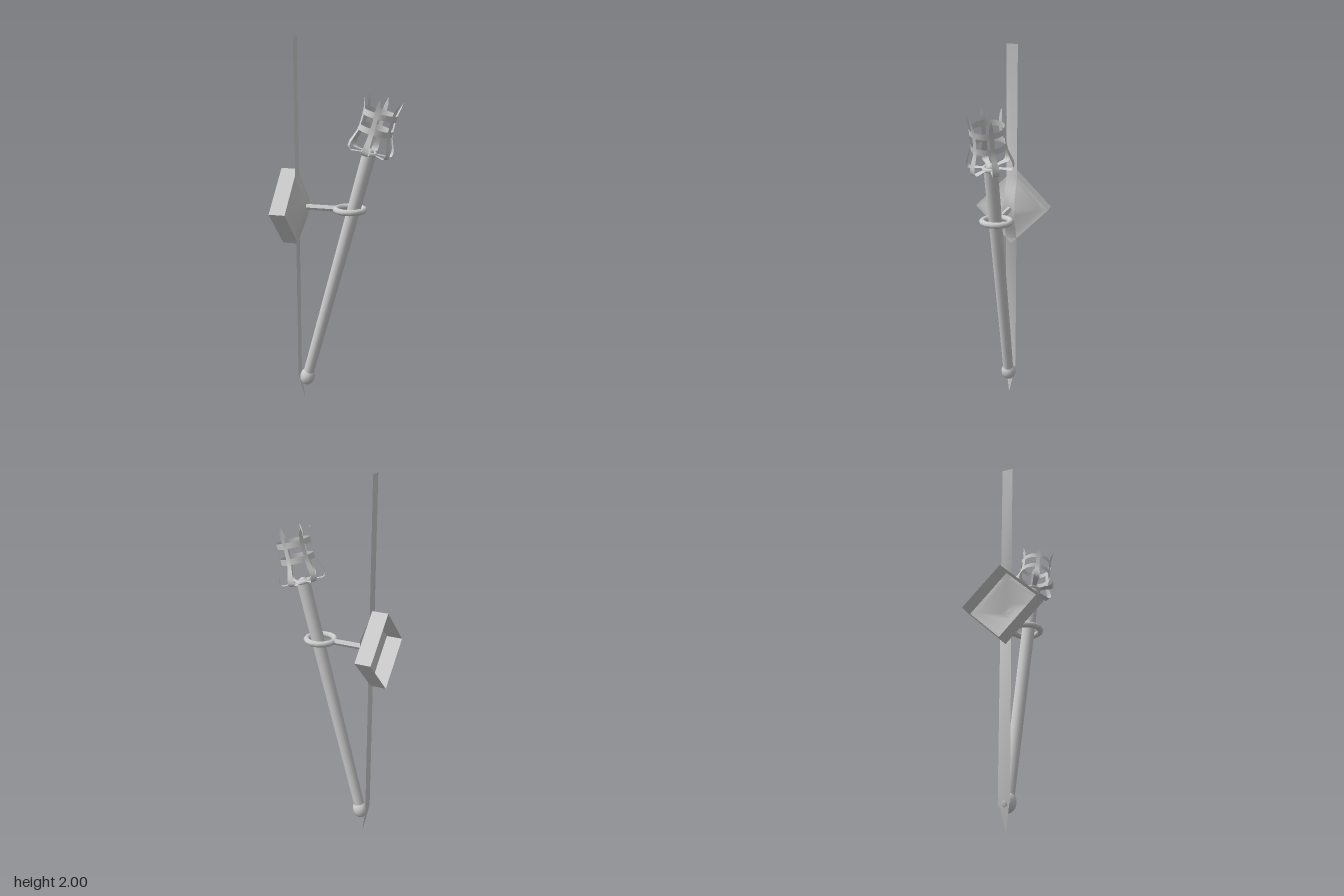
import * as THREE from 'three';
import { toCreasedNormals } from 'three/addons/utils/BufferGeometryUtils.js';

const solid = new THREE.MeshStandardMaterial({ color: 0xcccccc });
const sheet = new THREE.MeshStandardMaterial({ color: 0xcccccc, side: THREE.DoubleSide });

function add(parent, name, geometry, material = solid) {
  const mesh = new THREE.Mesh(geometry, material);
  mesh.name = name;
  parent.add(mesh);
  return mesh;
}

// Flat band along a path of [x, y, halfWidth], its width running along z
function ribbon(path) {
  const pos = [], index = [];
  path.forEach(([x, y, w], i) => {
    pos.push(x, y, w, x, y, -w);
    if (i) {
      const a = 2 * i - 2;
      index.push(a, a + 1, a + 2, a + 1, a + 3, a + 2);
    }
  });
  const g = new THREE.BufferGeometry();
  g.setAttribute('position', new THREE.Float32BufferAttribute(pos, 3));
  g.setIndex(index);
  g.computeVertexNormals();
  return g;
}

export function createModel() {
  const model = new THREE.Group();
  model.name = 'wallTorch';
  const mountY = 1.125;

  // Diamond wall plate: open-backed box with a shallow pyramid on its face
  const plateProfile = [[0.205, -0.318], [0.205, -0.232], [0.165, -0.232], [0.045, -0.184], [0, -0.184]]
    .map(([r, h]) => new THREE.Vector2(r, h));
  const plate = new THREE.LatheGeometry(plateProfile, 4).rotateZ(-Math.PI / 2);
  add(model, 'wallPlate', toCreasedNormals(plate, 0.8), sheet).position.y = mountY;

  // Long backing strip, bulging over the plate and ending in a bent point
  add(model, 'backStrip', toCreasedNormals(ribbon([
    [-0.205, 0, 0.001], [-0.217, 0.07, 0.014], [-0.232, 0.16, 0.03], [-0.232, 0.95, 0.03],
    [-0.205, 1.02, 0.03], [-0.181, 1.08, 0.03], [-0.181, 1.17, 0.03], [-0.205, 1.23, 0.03],
    [-0.232, 1.295, 0.03], [-0.232, 2, 0.03],
  ]), 0.6), sheet);

  // Arm and holding ring
  const arm = new THREE.CylinderGeometry(0.016, 0.016, 0.16, 6).rotateZ(Math.PI / 2);
  add(model, 'arm', toCreasedNormals(arm, 0.6)).position.set(-0.105, mountY + 0.003, 0);
  const ring = new THREE.TorusGeometry(0.075, 0.016, 10, 14).rotateX(Math.PI / 2);
  add(model, 'holdingRing', ring).position.set(0.057, mountY + 0.003, 0);

  // Leaning torch, built upright from its foot ball
  const torch = new THREE.Group();
  torch.name = 'torch';
  torch.position.set(-0.188, 0.14, 0);
  torch.rotation.z = -Math.PI / 12;
  model.add(torch);
  const length = 1.335;
  add(torch, 'shaft', new THREE.CylinderGeometry(0.036, 0.029, length, 14)).position.y = length / 2;
  add(torch, 'footBall', new THREE.SphereGeometry(0.042, 14, 10)).scale.y = 1.2;
  const collar = new THREE.TorusGeometry(0.033, 0.011, 8, 16).rotateX(Math.PI / 2);
  add(torch, 'collar', collar).position.y = length;
  add(torch, 'topKnob', new THREE.SphereGeometry(0.024, 8, 6)).position.y = length;

  // Basket of six curled straps and two hoops
  const basket = new THREE.Group();
  basket.name = 'basket';
  basket.position.y = length;
  torch.add(basket);
  const strap = ribbon([
    [0.03, 0.002, 0.011], [0.07, 0.002, 0.013], [0.1, 0, 0.016], [0.113, 0.005, 0.017], [0.119, 0.018, 0.017],
    [0.117, 0.042, 0.016], [0.105, 0.072, 0.014], [0.094, 0.1, 0.012], [0.089, 0.13, 0.011],
    [0.087, 0.19, 0.011], [0.09, 0.225, 0.011], [0.096, 0.25, 0.009], [0.103, 0.28, 0.001],
  ]);
  for (let i = 0; i < 6; i++) {
    add(basket, 'basketStrap', strap, sheet).rotation.y = Math.PI / 6 + i * Math.PI / 3;
  }
  for (const y of [0.122, 0.203]) {
    add(basket, 'basketHoop', new THREE.CylinderGeometry(0.088, 0.088, 0.03, 18, 1, true), sheet).position.y = y;
  }
  return model;
}
